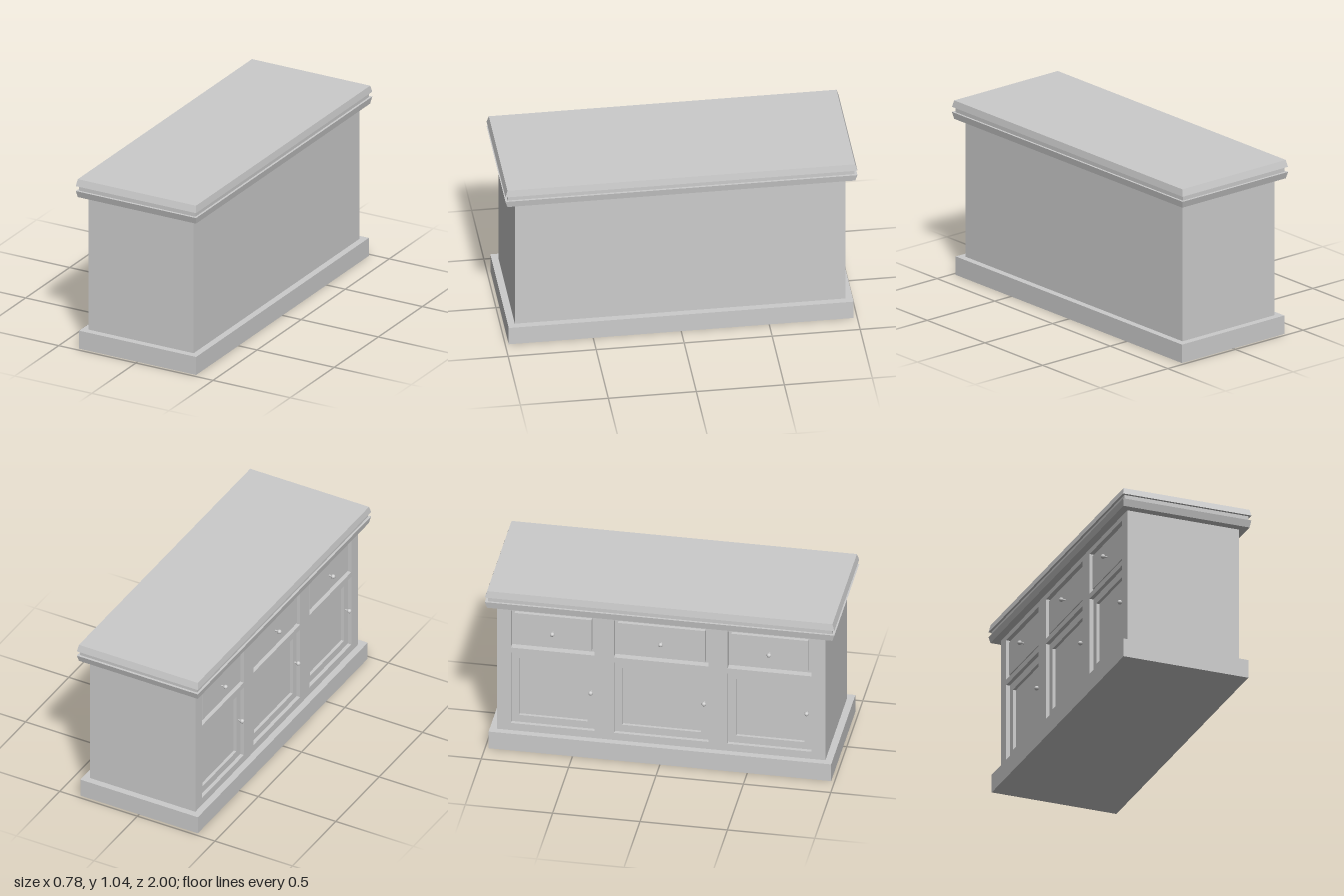
import * as THREE from 'three';

const grey = new THREE.MeshStandardMaterial({ color: 0xcccccc });

function add(parent, name, geometry, x = 0, y = 0, z = 0) {
  const mesh = new THREE.Mesh(geometry, grey);
  mesh.name = name;
  mesh.position.set(x, y, z);
  parent.add(mesh);
  return mesh;
}

// Rectangular slab from y0 to y1; half sizes [x, z] may differ at bottom and top
function slab(y0, y1, bottom, top = bottom) {
  const geo = new THREE.BoxGeometry(2, y1 - y0, 2);
  geo.translate(0, (y0 + y1) / 2, 0);
  const p = geo.attributes.position;
  const mid = (y0 + y1) / 2;
  for (let i = 0; i < p.count; i++) {
    const half = p.getY(i) > mid ? top : bottom;
    p.setX(i, p.getX(i) * half[0]);
    p.setZ(i, p.getZ(i) * half[1]);
  }
  geo.computeVertexNormals();
  return geo;
}

// Rectangle [z0, z1, y0, y1] traced as a shape or a hole
function rectangle(Type, [z0, z1, y0, y1]) {
  const r = new Type();
  r.moveTo(z0, y0).lineTo(z1, y0).lineTo(z1, y1).lineTo(z0, y1).closePath();
  return r;
}

// Plate with rectangular holes, facing -x and running from x = back outward
function plate(outline, holes, depth, back) {
  const shape = rectangle(THREE.Shape, outline);
  shape.holes = holes.map(h => rectangle(THREE.Path, h));
  const geo = new THREE.ExtrudeGeometry(shape, { depth, bevelEnabled: false });
  geo.rotateY(-Math.PI / 2);
  geo.translate(back, 0, 0);
  return geo;
}

const inset = ([z0, z1, y0, y1], d) => [z0 + d, z1 - d, y0 + d, y1 - d];

// Ball knob on a short stem, its foot at x
function knob(parent, name, x, y, z) {
  const group = new THREE.Group();
  group.name = name;
  const stem = new THREE.CylinderGeometry(0.005, 0.005, 0.016, 12);
  stem.rotateZ(Math.PI / 2);
  add(group, 'knobStem', stem, -0.006);
  add(group, 'knobBall', new THREE.SphereGeometry(0.013, 20, 14), -0.024);
  group.position.set(x, y, z);
  parent.add(group);
}

export function createModel() {
  const model = new THREE.Group();
  model.name = 'sideboard';

  // Plinth, carcass and stepped top moulding
  add(model, 'plinth', slab(0, 0.11, [0.379, 0.98]));
  add(model, 'carcass', new THREE.BoxGeometry(0.64, 0.82, 1.88), 0.02, 0.52, 0);
  add(model, 'lowerMoulding', slab(0.93, 0.97, [0.383, 0.988], [0.39, 1]));
  add(model, 'mouldingNeck', slab(0.97, 1.0, [0.377, 0.985]));
  add(model, 'topBoard', slab(1.0, 1.04, [0.39, 1], [0.383, 0.988]));

  // Three bays, each with a drawer above a door
  const bays = [
    { span: [-0.86, -0.38], knobZ: -0.403 },
    { span: [-0.27, 0.27], knobZ: 0.245 },
    { span: [0.38, 0.86], knobZ: 0.833 },
  ];
  const openings = [];
  for (const { span, knobZ } of bays) {
    const drawer = [...span, 0.655, 0.9];
    const door = [...span, 0.157, 0.622];
    openings.push(drawer, door);

    add(model, 'drawerFront', plate(inset(drawer, 0.02), [], 0.03, -0.3));
    knob(model, 'drawerKnob', -0.333, 0.778, (span[0] + span[1]) / 2);

    add(model, 'doorFrame', plate(door, [inset(door, 0.045)], 0.018, -0.3));
    knob(model, 'doorKnob', -0.318, 0.405, knobZ);
  }

  // Face frame around the openings
  add(model, 'faceFrame', plate([-0.94, 0.94, 0.11, 0.93], openings, 0.04, -0.3));

  return model;
}
